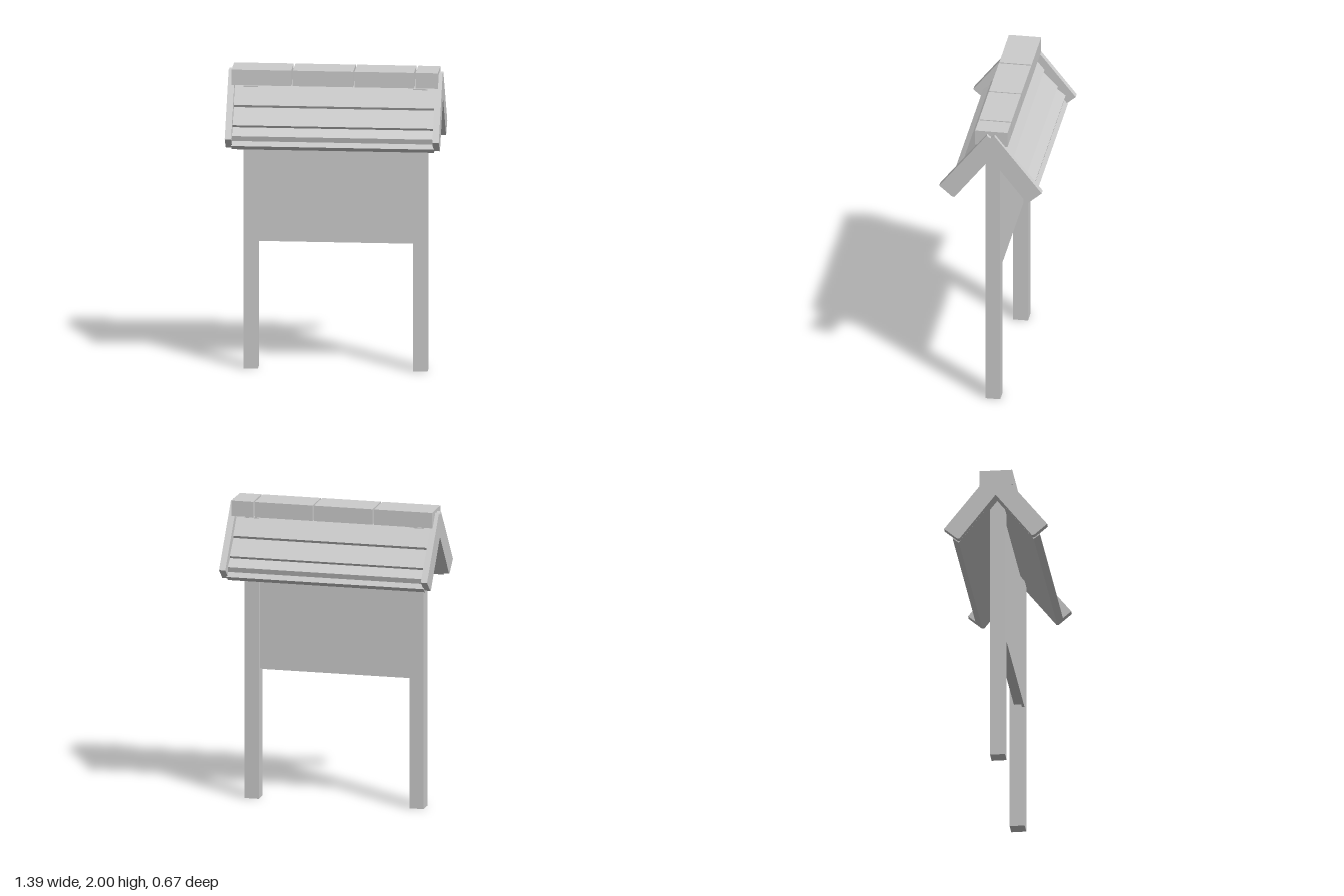
import * as THREE from 'three';

export function createModel() {
  const model = new THREE.Group();
  model.name = 'noticeBoard';
  const grey = new THREE.MeshStandardMaterial({ color: 0xcccccc });
  grey.name = 'plain grey';

  const add = (name, geometry) => {
    const mesh = new THREE.Mesh(geometry, grey);
    mesh.name = name;
    model.add(mesh);
    return mesh;
  };
  // box given by its limits on each axis
  const box = (name, x0, x1, y0, y1, z0, z1) => {
    const mesh = add(name, new THREE.BoxGeometry(x1 - x0, y1 - y0, z1 - z0));
    mesh.position.set((x0 + x1) / 2, (y0 + y1) / 2, (z0 + z1) / 2);
    return mesh;
  };
  // symmetric gable section: half profile of [z, y] points, extruded along x
  const gable = (name, half, x0, x1) => {
    const mirrored = half.filter(p => p[0] > 0).reverse().map(([z, y]) => [-z, y]);
    const shape = new THREE.Shape([...half, ...mirrored].map(([z, y]) => new THREE.Vector2(-z, y)));
    const geometry = new THREE.ExtrudeGeometry(shape, { depth: x1 - x0, bevelEnabled: false });
    geometry.rotateY(Math.PI / 2).translate(x0, 0, 0);
    return add(name, geometry);
  };

  // Posts, whose tops just break through the roof
  box('rightPost', -0.6, -0.505, 0, 1.88, -0.048, 0.05);
  box('leftPost', 0.505, 0.6, 0, 1.88, -0.048, 0.05);

  // Backing board with a thin front sheet hanging slightly lower
  box('backingBoard', -0.505, 0.505, 0.868, 1.68, -0.02, 0.032);
  box('frontSheet', -0.505, 0.505, 0.85, 1.68, 0.032, 0.049);

  // Roof of overlapping planks: underside apex, eave, three steps, ridge
  gable('plankRoof', [
    [0, 1.815], [0.245, 1.502], [0.285, 1.532], [0.262, 1.561], [0.271, 1.595],
    [0.211, 1.641], [0.22, 1.656], [0.124, 1.755], [0.132, 1.771], [0, 1.935],
  ], -0.66, 0.66);

  // Barge boards at both gable ends, notched at the peak
  for (const [name, x] of [['rightBargeBoard', -0.697], ['leftBargeBoard', 0.655]]) {
    gable(name, [
      [0, 1.815], [0.237, 1.513], [0.252, 1.515], [0.337, 1.588], [0.025, 1.983], [0, 1.962],
    ], x, x + 0.042);
  }

  // Row of ridge caps, laid a touch unevenly
  const caps = [[-0.672, -0.284, 0.003], [-0.273, 0.12, -0.002], [0.129, 0.516, 0.001], [0.527, 0.672, -0.003]];
  caps.forEach(([x0, x1, turn], i) => {
    box('ridgeCap' + (i + 1), x0, x1, 1.897, 2, -0.108, 0.105).rotation.y = turn;
  });

  return model;
}
